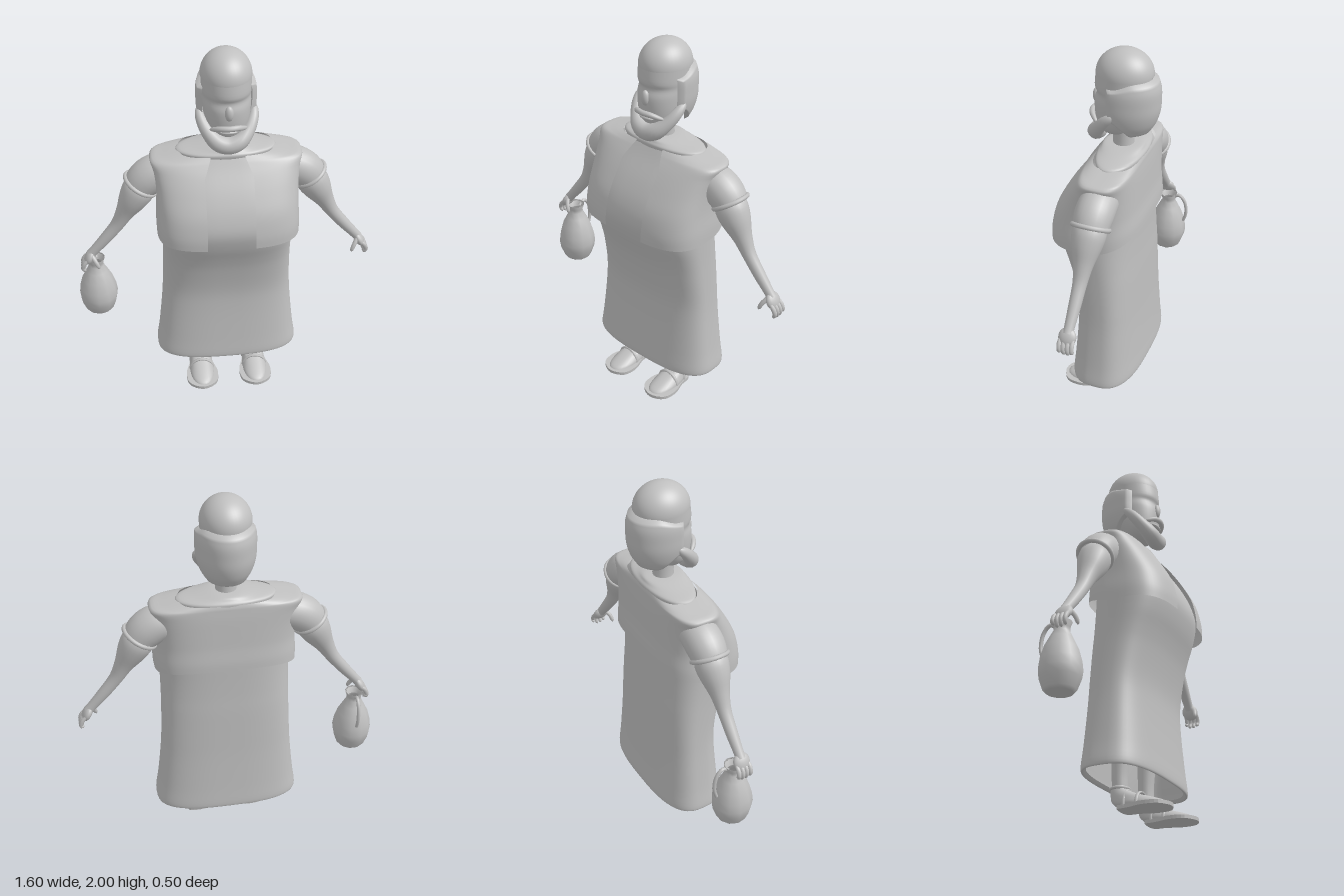
import * as THREE from 'three';

const clay = new THREE.MeshStandardMaterial({ color: 0xc0c0c0, side: THREE.DoubleSide });
clay.name = 'plain grey';
const CX = 0.012; // body axis

// Catmull-Rom through rows of numbers, t in 0..1
function sample(rows, t) {
  const n = rows.length - 1, i = Math.min(Math.floor(t * n), n - 1), f = t * n - i;
  const a = rows[Math.max(i - 1, 0)], b = rows[i], c = rows[i + 1], d = rows[Math.min(i + 2, n)];
  return b.map((v, k) => v + 0.5 * f * (c[k] - a[k] + f * (2 * a[k] - 5 * v + 4 * c[k] - d[k]
    + f * (3 * (v - c[k]) + d[k] - a[k]))));
}

// Surface from f(u, v) -> [x, y, z]; u runs around, v runs along
function grid(nu, nv, closed, f) {
  const pos = [], idx = [], w = closed ? nu : nu + 1;
  for (let j = 0; j <= nv; j++) for (let i = 0; i < w; i++) pos.push(...f(i / nu, j / nv));
  for (let j = 0; j < nv; j++) for (let i = 0; i < nu; i++) {
    const a = j * w + i, b = j * w + (i + 1) % w;
    idx.push(a, b, a + w, b, b + w, a + w);
  }
  const g = new THREE.BufferGeometry();
  g.setAttribute('position', new THREE.Float32BufferAttribute(pos, 3));
  g.setIndex(idx);
  g.computeVertexNormals();
  return g;
}

const power = (v, e) => Math.sign(v) * Math.abs(v) ** e;

// Stacked rounded outlines; rows are [y, half width, front z, back z]
function loft(rows, e = 1, nu = 40, sub = 4) {
  return grid(nu, (rows.length - 1) * sub, true, (u, v) => {
    const [y, rx, zf, zb] = sample(rows, v), a = u * Math.PI * 2;
    return [rx * power(Math.sin(a), e), y, (zf + zb) / 2 + (zf - zb) / 2 * power(Math.cos(a), e)];
  });
}

// Tapering tube; points are [x, y, z, radius]
function limb(points, nu = 16, sub = 4, ref = [0, 0, 1]) {
  const at = t => new THREE.Vector3(...sample(points, t).slice(0, 3));
  return grid(nu, (points.length - 1) * sub, true, (u, v) => {
    const c = at(v), T = at(Math.min(v + 0.01, 1)).sub(at(Math.max(v - 0.01, 0))).normalize();
    const n = new THREE.Vector3().crossVectors(new THREE.Vector3(...ref), T).normalize();
    const b = new THREE.Vector3().crossVectors(T, n), r = Math.max(sample(points, v)[3], 0.0005);
    const a = u * Math.PI * 2;
    return c.addScaledVector(n, r * Math.cos(a)).addScaledVector(b, r * Math.sin(a)).toArray();
  });
}

export function createModel() {
  const model = new THREE.Group();
  const add = (name, geo, x = CX, y = 0, z = 0, parent = model) => {
    const m = new THREE.Mesh(geo, clay);
    m.name = name;
    m.position.set(x, y, z);
    parent.add(m);
    return m;
  };

  // Long robe, open at the hem
  add('robe', loft([[0.185, 0.37, 0.115, -0.205], [0.168, 0.387, 0.132, -0.222], [0.19, 0.394, 0.14, -0.23],
    [0.3, 0.378, 0.13, -0.222], [0.5, 0.357, 0.115, -0.21], [0.64, 0.348, 0.115, -0.205], [0.8, 0.342, 0.143, -0.2],
    [0.9, 0.34, 0.172, -0.195], [1.0, 0.34, 0.208, -0.192], [1.1, 0.34, 0.226, -0.19], [1.2, 0.335, 0.2, -0.185],
    [1.3, 0.325, 0.147, -0.18], [1.4, 0.3, 0.078, -0.175], [1.452, 0.23, 0.045, -0.17]], 0.7, 64));

  // Open vest; each row's front edges sit at a fixed distance from the middle
  const vestRows = [[1.03, 0.37, 0.25, -0.218], [1.1, 0.37, 0.247, -0.216], [1.2, 0.364, 0.222, -0.208],
    [1.3, 0.366, 0.168, -0.202], [1.38, 0.376, 0.115, -0.197], [1.43, 0.386, 0.075, -0.192],
    [1.447, 0.32, 0.06, -0.19], [1.462, 0.24, 0.045, -0.185]];
  add('vest', grid(64, 28, false, (u, v) => {
    const [y, rx, zf, zb] = sample(vestRows, v), e = 0.62;
    const gap = y < 1.38 ? 0.123 : 0.123 - (y - 1.38) * 0.45;
    const start = Math.asin((gap / rx) ** (1 / e));
    const a = start + u * (Math.PI * 2 - 2 * start);
    const lift = 0.065 * Math.max(0, -Math.cos(a)) * Math.max(0, 1 - (y - 1.03) / 0.2);
    return [rx * power(Math.sin(a), e), y + lift, (zf + zb) / 2 + (zf - zb) / 2 * power(Math.cos(a), e)];
  }));

  // Oval collar and neck
  add('collar', loft([[1.44, 0.25, 0.045, -0.185], [1.465, 0.25, 0.05, -0.187], [1.48, 0.17, 0.042, -0.175],
    [1.494, 0.09, 0.03, -0.16], [1.498, 0.045, -0.02, -0.11]]));
  add('neck', limb([[0, 1.44, -0.065, 0.06], [0, 1.52, -0.064, 0.053], [0, 1.66, -0.06, 0.055]], 20));

  // Head and domed cap
  const head = new THREE.Group();
  head.name = 'head';
  head.position.x = 0.014;
  model.add(head);
  const addHead = (name, geo, x = 0, y = 0, z = 0) => add(name, geo, x, y, z, head);
  addHead('face', loft([[1.54, 0.01, -0.01, -0.03], [1.56, 0.06, 0.04, -0.09], [1.6, 0.095, 0.066, -0.11],
    [1.66, 0.113, 0.078, -0.15], [1.73, 0.121, 0.08, -0.18], [1.775, 0.122, 0.068, -0.195],
    [1.81, 0.124, 0.079, -0.2], [1.88, 0.125, 0.072, -0.2]]));
  addHead('cap', new THREE.SphereGeometry(1, 40, 16, 0, Math.PI * 2, 0, Math.PI / 2), 0, 1.872, -0.07)
    .scale.set(0.128, 0.128, 0.144);
  addHead('nose', new THREE.SphereGeometry(1, 16, 12), 0, 1.73, 0.077).scale.set(0.022, 0.04, 0.02);

  // Hair wrapped round the back and sides, with edges turned in
  const hairWidth = [[0.7], [0.88], [0.98], [1.0], [0.99], [0.9]];
  addHead('hair', grid(44, 22, false, (u, v) => {
    const a = THREE.MathUtils.degToRad(75 + 210 * u), side = Math.abs(u - 0.5) * 2;
    const drop = THREE.MathUtils.smoothstep(1 - side, 0, 0.45);
    const y = THREE.MathUtils.lerp(1.67 - 0.1 * drop, 1.83 + 0.035 * drop, v);
    let s = sample(hairWidth, THREE.MathUtils.clamp((y - 1.57) / 0.3, 0, 1))[0];
    if (u === 0 || u === 1 || v === 0 || v === 1) s *= 0.85;
    return [0.15 * s * Math.sin(a), y, -0.07 + (Math.cos(a) > 0 ? 0.2 : 0.182 * s) * Math.cos(a)];
  }));

  // Beard along the jaw, moustache and lip
  const mirrored = half => [...half.map(([x, ...r]) => [-x, ...r]), ...half.slice(0, -1).reverse()];
  addHead('beard', limb(mirrored([[0.135, 1.71, -0.06, 0], [0.137, 1.69, -0.045, 0.018], [0.128, 1.655, -0.01, 0.028],
    [0.1, 1.605, 0.03, 0.034], [0.055, 1.562, 0.06, 0.043], [0, 1.545, 0.066, 0.046]]), 16, 5));
  addHead('moustache', limb(mirrored([[0.095, 1.625, 0.035, 0], [0.08, 1.635, 0.055, 0.01],
    [0.045, 1.652, 0.084, 0.014], [0, 1.656, 0.096, 0.014]]), 12));
  addHead('lip', new THREE.SphereGeometry(1, 16, 10), 0, 1.625, 0.07).scale.set(0.045, 0.012, 0.02);

  for (const s of [-1, 1]) {
    const name = s > 0 ? 'left' : 'right';
    const mir = pts => pts.map(([x, ...r]) => [x * s, ...r]);

    // Sleeve, rolled cuff and arm
    add(name + 'Sleeve', limb(mir([[0.24, 1.335, -0.07, 0.07], [0.3, 1.335, -0.068, 0.09], [0.355, 1.325, -0.066, 0.097],
      [0.405, 1.295, -0.065, 0.097], [0.442, 1.255, -0.065, 0.09]]), 24));
    const cuff = add(name + 'Cuff', new THREE.TorusGeometry(0.09, 0.012, 10, 32), CX + 0.44 * s, 1.257, -0.065);
    cuff.quaternion.setFromUnitVectors(new THREE.Vector3(0, 0, 1), new THREE.Vector3(0.54 * s, -0.84, 0).normalize());
    add(name + 'Arm', limb(mir([[0.42, 1.28, -0.063, 0.07], [0.45, 1.23, -0.062, 0.085], [0.485, 1.17, -0.06, 0.076],
      [0.53, 1.09, -0.06, 0.05], [0.575, 1.01, -0.06, 0.036], [0.645, 0.92, -0.06, 0.031], [0.705, 0.85, -0.06, 0.026],
      [0.73, 0.82, -0.06, 0.026]]), 20));

    // Hand: flat palm, four fingers and a thumb
    const palm = add(name + 'Palm', new THREE.SphereGeometry(1, 18, 12), CX + 0.738 * s, 0.805, -0.06);
    palm.scale.set(0.024, 0.048, 0.046);
    palm.rotation.z = 0.5 * s;
    for (let i = 0; i < 4; i++) {
      const z = -0.028 - 0.022 * i, tip = 0.718 + (i === 3 ? 0.015 : 0) + (i === 0 ? 0.006 : 0);
      add(name + 'Finger', limb(mir([[0.745, 0.8, z, 0.009], [0.766, 0.778, z, 0.012], [0.777, 0.75, z - 0.002, 0.011],
        [0.768, tip + 0.008, z - 0.003, 0.009], [0.765, tip, z - 0.003, 0]]), 8, 3));
    }
    add(name + 'Thumb', limb(mir([[0.725, 0.825, -0.04, 0.013], [0.705, 0.795, -0.018, 0.012],
      [0.692, 0.765, -0.01, 0.01], [0.69, 0.752, -0.01, 0]]), 8, 3));

    // Leg, foot and sandal
    const foot = new THREE.Group();
    foot.name = name + 'Foot';
    foot.position.x = CX + 0.153 * s;
    model.add(foot);
    add(name + 'Leg', limb([[0, 0.06, -0.06, 0.036], [0, 0.12, -0.06, 0.038], [0, 0.22, -0.062, 0.042],
      [0, 0.5, -0.05, 0.055], [0, 0.7, -0.05, 0.055]]), -0.006 * s, 0, 0, foot);
    add('footUpper', loft([[0.018, 0.068, 0.2, -0.06], [0.03, 0.066, 0.185, -0.08], [0.05, 0.058, 0.13, -0.097],
      [0.075, 0.05, 0.05, -0.102], [0.1, 0.042, -0.005, -0.103], [0.125, 0.036, -0.025, -0.098]], 0.9, 28, 3), 0, 0, 0, foot);
    const sole = new THREE.Shape([[0, -0.055], [0.06, -0.045], [0.068, 0.02], [0.09, 0.1], [0.075, 0.18], [0, 0.217],
      [-0.075, 0.18], [-0.09, 0.1], [-0.068, 0.02], [-0.06, -0.045]].map(p => new THREE.Vector2(p[0], -p[1])).reverse());
    const rounded = new THREE.Shape(new THREE.SplineCurve([...sole.getPoints(), sole.getPoints()[0]]).getPoints(40));
    add('sole', new THREE.ExtrudeGeometry(rounded, { depth: 0.018, bevelEnabled: false }), 0, 0, 0, foot).rotation.x = -Math.PI / 2;
    const ring = add('ankleStrap', new THREE.TorusGeometry(0.046, 0.008, 8, 24), -0.006 * s, 0.113, -0.06, foot);
    ring.rotation.x = Math.PI / 2;
    for (const [z, w, h] of [[0.06, 0.066, 0.07], [-0.01, 0.06, 0.088]]) {
      add('footStrap', new THREE.TorusGeometry(1, 0.1, 6, 20, Math.PI), 0, 0.012, z, foot).scale.set(w, h, 0.09);
    }
  }

  // Faceted water jug with a strap down the back
  const jug = [[0, 0.42], [0.065, 0.42], [0.08, 0.435], [0.1, 0.49], [0.106, 0.53], [0.1, 0.58], [0.083, 0.64],
    [0.058, 0.69], [0.04, 0.725], [0.039, 0.745], [0.05, 0.775], [0.042, 0.77], [0.03, 0.74]];
  add('jug', new THREE.LatheGeometry(jug.map(p => new THREE.Vector2(...p)), 11), -0.695, 0, -0.085);
  add('jugHandle', limb([[0, 0.75, -0.115, 0.009], [0, 0.77, -0.15, 0.01], [0, 0.73, -0.185, 0.01],
    [0, 0.66, -0.195, 0.01], [0, 0.6, -0.18, 0.009]], 8, 4, [1, 0, 0]), -0.695);

  return model;
}
